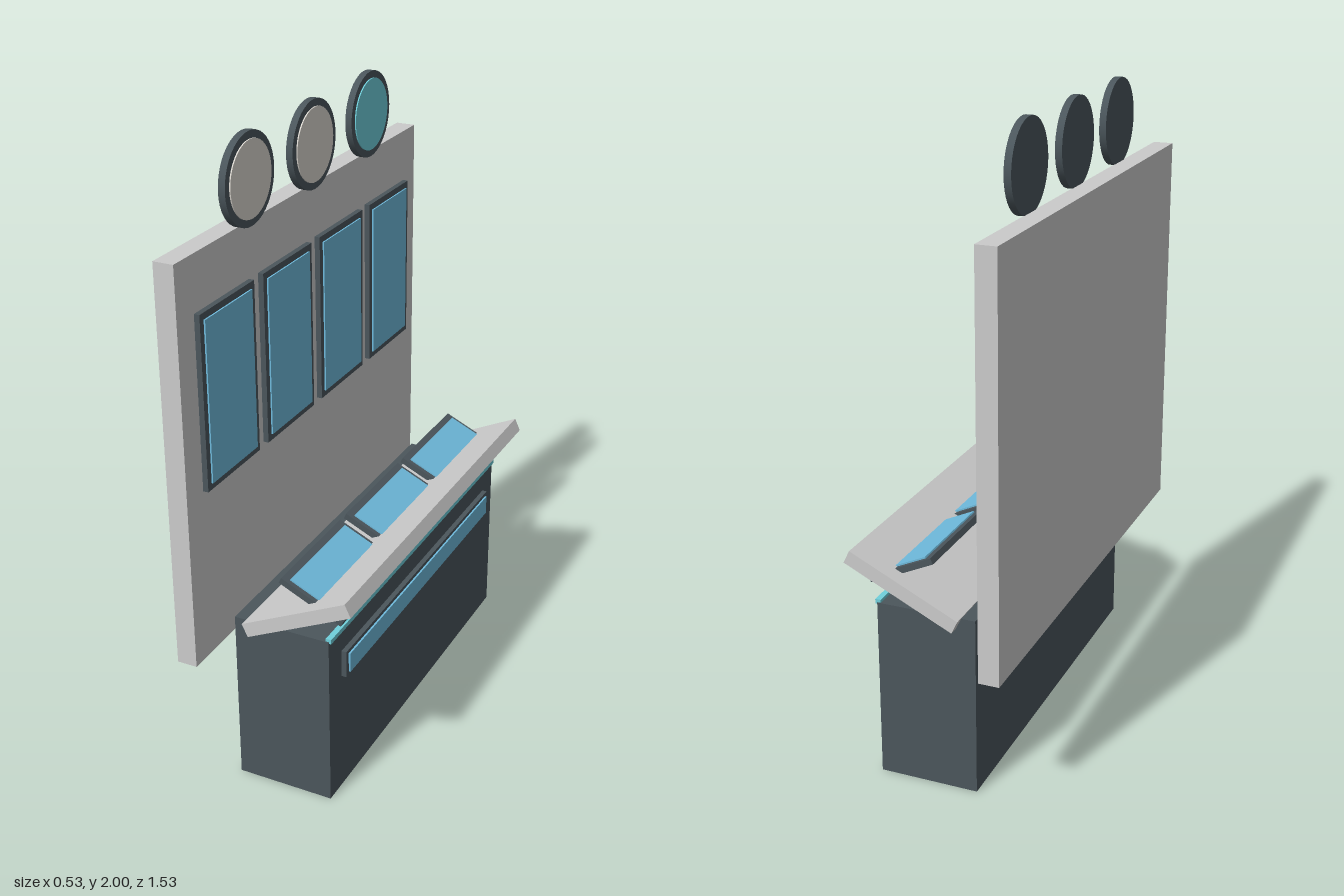
import * as THREE from 'three';

const mat = (color) => new THREE.MeshStandardMaterial({ color });

export function createModel() {
  const group = new THREE.Group();
  const grey = mat(0xcccccc), dark = mat(0x4b565c), glass = mat(0x6fbbdd);
  const cyan = mat(0x70d0dc), cream = mat(0xdad6cf);

  const box = (name, material, size, pos, parent = group) => {
    const mesh = new THREE.Mesh(new THREE.BoxGeometry(...size), material);
    mesh.name = name;
    mesh.position.set(...pos);
    parent.add(mesh);
    return mesh;
  };

  // Disc whose axis runs along x
  const disc = (name, material, radius, depth, pos, parent) => {
    const geo = new THREE.CylinderGeometry(radius, radius, depth, 40).rotateZ(-Math.PI / 2);
    const mesh = new THREE.Mesh(geo, material);
    mesh.name = name;
    mesh.position.set(...pos);
    parent.add(mesh);
  };

  // Back wall
  box('wallPanel', grey, [0.065, 1.277, 1.535], [-0.237, 1.093, 0]);

  // Row of framed wall screens
  for (const z of [-0.53, -0.177, 0.177, 0.53]) {
    const screen = new THREE.Group();
    screen.name = 'wallScreen';
    screen.position.set(-0.197, 1.285, z);
    box('wallScreenFrame', dark, [0.02, 0.55, 0.3], [0, 0, 0], screen);
    box('wallScreenGlass', glass, [0.012, 0.508, 0.26], [0.009, 0, 0], screen);
    group.add(screen);
  }

  // Round dials above the wall
  [cream, cream, cyan].forEach((face, i) => {
    const dial = new THREE.Group();
    dial.name = 'dial';
    dial.position.set(-0.196, 1.862, 0.386 * (1 - i));
    disc('dialRim', dark, 0.138, 0.022, [0, 0, 0], dial);
    disc('dialFace', face, 0.115, 0.012, [0.009, 0, 0], dial);
    group.add(dial);
  });

  // Console base with front display and light strip
  box('consoleBase', dark, [0.317, 0.576, 1.28], [0.017, 0.288, 0]);
  box('lightStrip', cyan, [0.018, 0.015, 1.275], [0.174, 0.578, 0]);
  box('frontDisplayFrame', dark, [0.02, 0.09, 1.115], [0.182, 0.451, 0]);
  box('frontDisplayGlass', glass, [0.012, 0.066, 1.085], [0.192, 0.451, 0]);

  // Sloping console top
  const top = box('consoleTop', grey, [0.382, 0.045, 1.345], [0.083, 0.643, 0]);
  top.rotation.z = 0.445;

  // Console screens, tilted the other way through the top
  for (const z of [-0.426, 0, 0.426]) {
    const screen = new THREE.Group();
    screen.name = 'consoleScreen';
    screen.position.set(0.107, 0.684, z);
    screen.rotation.z = -0.437;
    box('consoleScreenFrame', dark, [0.225, 0.02, 0.385], [0, 0, 0], screen);
    box('consoleScreenGlass', glass, [0.178, 0.012, 0.355], [0, 0.009, 0], screen);
    group.add(screen);
  }

  return group;
}
